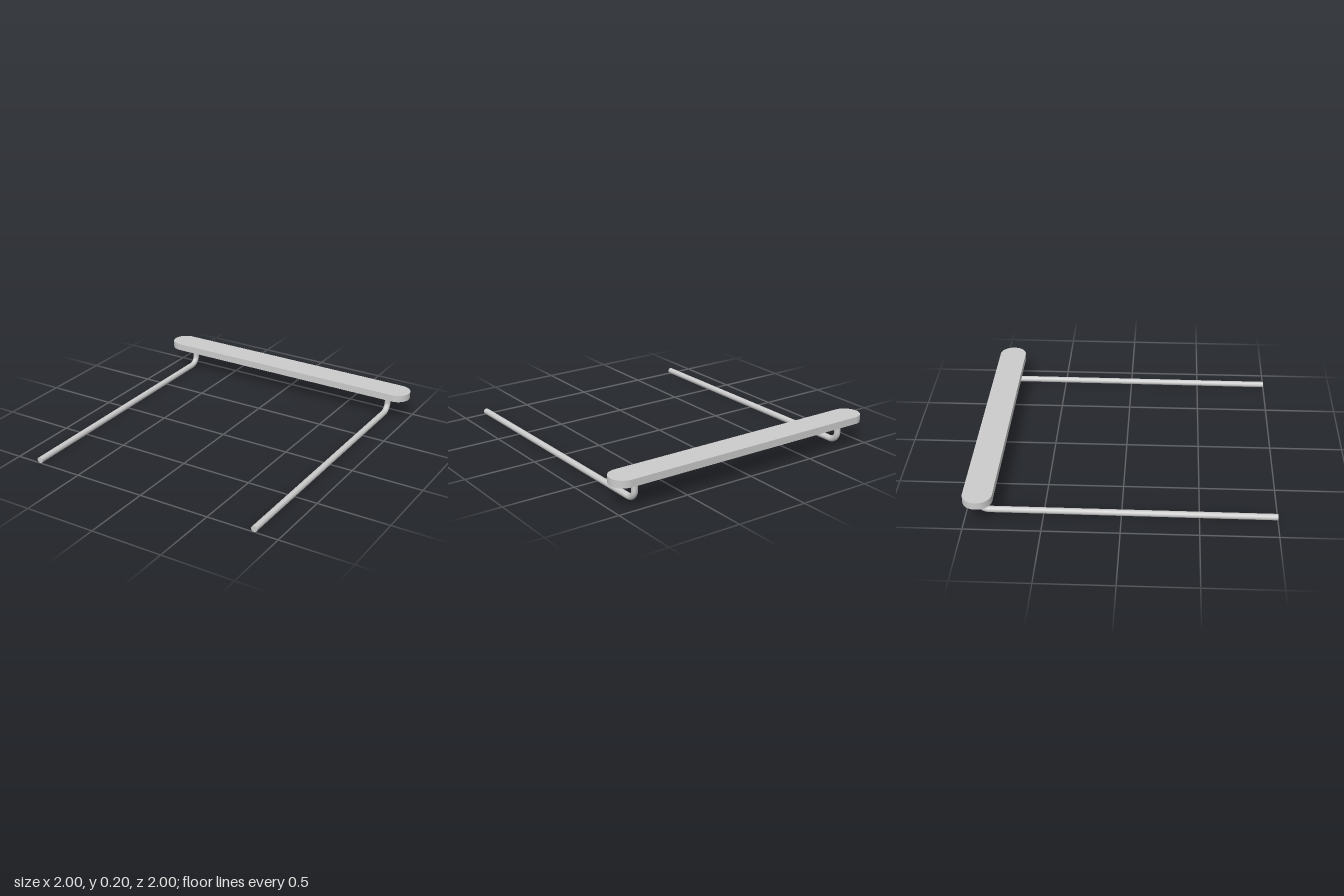
import * as THREE from 'three';

const material = new THREE.MeshStandardMaterial({ color: 0xcccccc, side: THREE.DoubleSide });

const BAR_Z = -0.905, BAR_R = 0.095, BAR_BOTTOM = 0.156, BAR_TOP = 0.205;
const ROD_R = 0.021;

function add(parent, name, geometry) {
  const mesh = new THREE.Mesh(geometry, material);
  mesh.name = name;
  parent.add(mesh);
  return mesh;
}

// Outline with straight sides and half-round ends
function stadium(Type, radius) {
  const outline = new Type();
  const half = 1 - BAR_R;
  outline.absarc(half, 0, radius, -Math.PI / 2, Math.PI / 2, false);
  outline.absarc(-half, 0, radius, Math.PI / 2, Math.PI * 1.5, false);
  outline.closePath();
  return outline;
}

function slab(shape, bottom, top) {
  const geometry = new THREE.ExtrudeGeometry(shape, {
    depth: top - bottom, bevelEnabled: false, curveSegments: 20,
  });
  geometry.rotateX(-Math.PI / 2);
  geometry.translate(0, bottom, BAR_Z);
  return geometry;
}

// Hollow bar, open underneath
function createBar() {
  const bar = new THREE.Group();
  bar.name = 'crossbar';
  const rim = stadium(THREE.Shape, BAR_R);
  rim.holes.push(stadium(THREE.Path, BAR_R - 0.01));
  add(bar, 'crossbarRim', slab(rim, BAR_BOTTOM, BAR_TOP));
  add(bar, 'crossbarTop', slab(stadium(THREE.Shape, BAR_R - 0.01), BAR_TOP - 0.006, BAR_TOP));
  return bar;
}

// Long rod that bends upward at the back
function createRod(name, x) {
  const rod = new THREE.Group();
  rod.name = name;
  const at = (y, z) => new THREE.Vector3(x, y, z);
  const front = at(0.0215, 1), bendStart = at(0.028, -0.85);
  const corner = at(0.028, -0.919), bendEnd = at(0.09, -0.919), tip = at(0.137, -0.919);

  const path = new THREE.CurvePath();
  path.add(new THREE.LineCurve3(front, bendStart));
  path.add(new THREE.CubicBezierCurve3(
    bendStart, bendStart.clone().lerp(corner, 0.55),
    bendEnd.clone().lerp(corner, 0.55), bendEnd));
  path.add(new THREE.LineCurve3(bendEnd, tip));
  add(rod, name + 'Tube', new THREE.TubeGeometry(path, 160, ROD_R, 16));

  // End caps
  add(rod, name + 'FrontCap', new THREE.CircleGeometry(ROD_R, 16)).position.copy(front);
  const top = add(rod, name + 'TopCap', new THREE.CircleGeometry(ROD_R, 16));
  top.rotation.x = -Math.PI / 2;
  top.position.copy(tip);
  return rod;
}

export function createModel() {
  const model = new THREE.Group();
  model.name = 'barWithRods';
  model.add(createBar(), createRod('leftRod', 0.834), createRod('rightRod', -0.819));
  return model;
}
